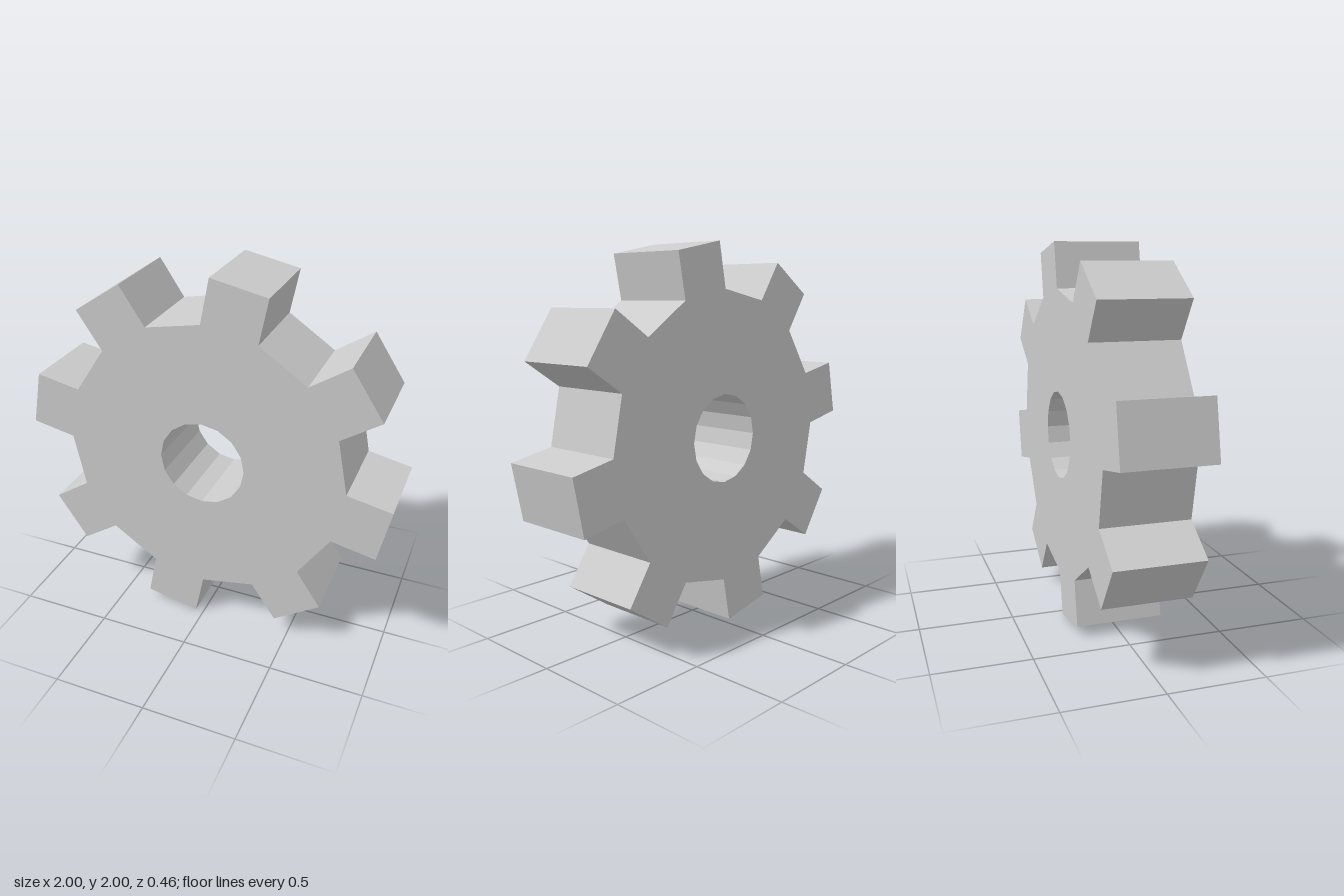
import * as THREE from 'three';

const SIDES = 16;         // facets of the body and the bore
const BODY_RADIUS = 0.765;
const BORE_RADIUS = 0.232;
const TOOTH_HEIGHT = 0.24;
const WIDTH = 0.46;

const polar = (radius, angle) =>
  new THREE.Vector2(radius * Math.cos(angle), radius * Math.sin(angle));

export function createModel() {
  const group = new THREE.Group();
  group.name = 'gear';

  // Outline: a square tooth stands on every second side of the body polygon
  const step = (Math.PI * 2) / SIDES;
  const outline = [];
  const bore = [];
  for (let i = 0; i < SIDES; i++) {
    const a = i * step;
    const corner = polar(BODY_RADIUS, a);
    outline.push(corner);
    if (i % 2 === 1) {
      const out = polar(TOOTH_HEIGHT, a + step / 2);
      outline.push(corner.clone().add(out), polar(BODY_RADIUS, a + step).add(out));
    }
    bore.push(polar(BORE_RADIUS, -a));
  }

  // Toothed wheel with a faceted bore through its middle
  const shape = new THREE.Shape(outline);
  shape.holes.push(new THREE.Path(bore));
  const geometry = new THREE.ExtrudeGeometry(shape, { depth: WIDTH, bevelEnabled: false });
  geometry.translate(0, 1, -WIDTH / 2);

  const material = new THREE.MeshStandardMaterial({ color: 0xcccccc, flatShading: true });
  const wheel = new THREE.Mesh(geometry, material);
  wheel.name = 'toothedWheel';
  group.add(wheel);
  return group;
}
